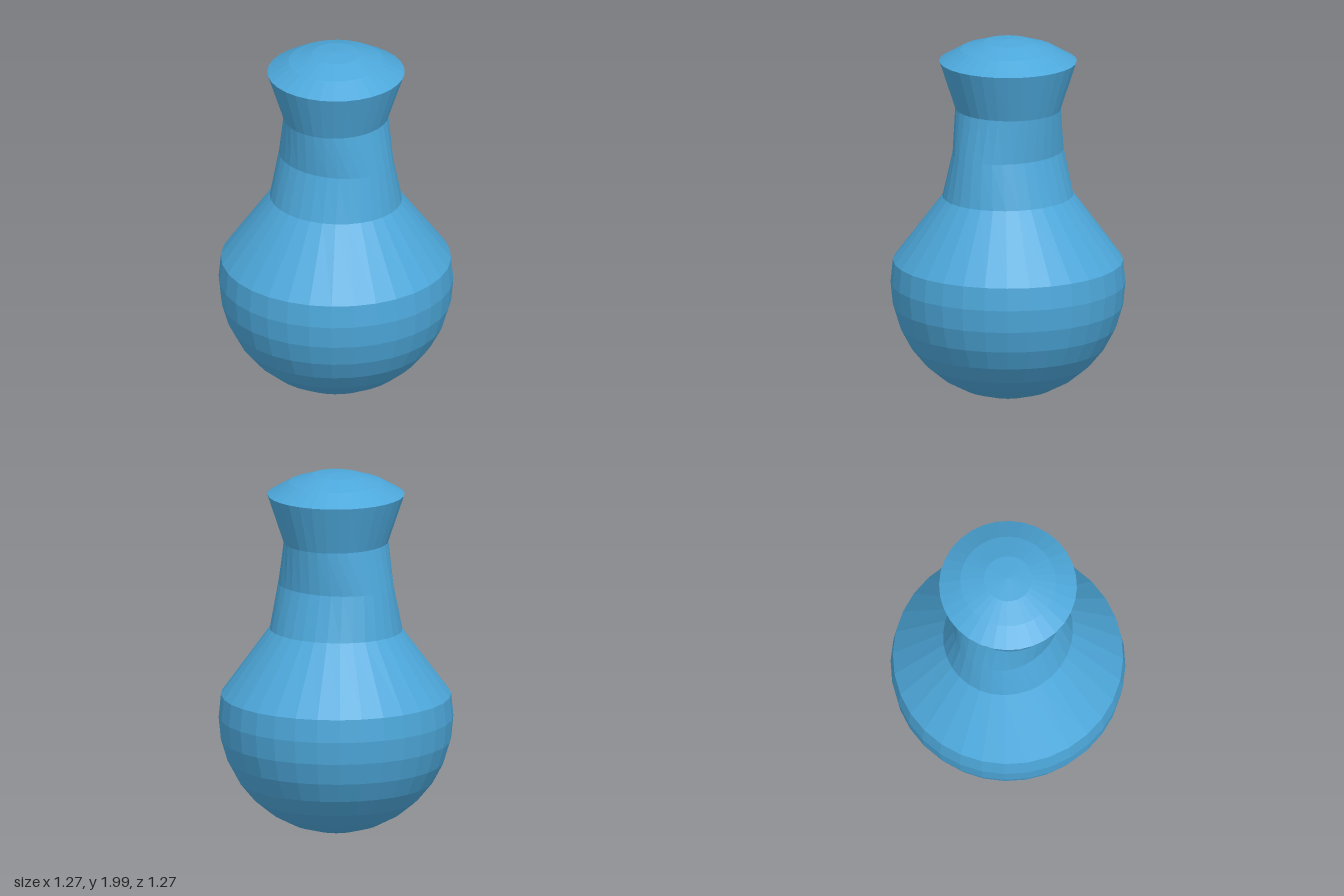
import * as THREE from 'three';

const SEGMENTS = 32;
const BULB_RADIUS = 0.636;
const BULB_CENTER = 0.643;

// Rings as [y, radius along x, radius along z], bottom to top
function bodyRings() {
  const rings = [];
  // Round bulb: a sphere cut off just above its equator
  for (let i = 0; i <= 9; i++) {
    const a = (i / 16) * Math.PI;
    const r = BULB_RADIUS * Math.sin(a);
    rings.push([BULB_CENTER - BULB_RADIUS * Math.cos(a), r, r]);
  }
  // Shoulder, slightly oval neck and flared rim
  rings.push([1.13, 0.344, 0.366], [1.375, 0.272, 0.328], [1.615, 0.291, 0.281], [1.88, 0.374, 0.372]);
  // Shallow domed top
  rings.push([1.946, 0.26, 0.257], [1.988, 0.13, 0.13], [2.0, 0, 0]);
  return rings;
}

// Lathe whose rings may be oval
function ovalLathe(rings) {
  const profile = rings.map(([y, rx]) => new THREE.Vector2(rx, y));
  const geometry = new THREE.LatheGeometry(profile, SEGMENTS);
  const pos = geometry.attributes.position;
  for (let i = 0; i < pos.count; i++) {
    const [, rx, rz] = rings[i % rings.length];
    if (rx > 1e-6) pos.setZ(i, (pos.getZ(i) * rz) / rx);
  }
  geometry.computeVertexNormals();
  return geometry;
}

export function createModel() {
  const group = new THREE.Group();
  group.name = 'bottle';
  const material = new THREE.MeshStandardMaterial({ color: 0x4da8db, flatShading: true });
  const body = new THREE.Mesh(ovalLathe(bodyRings()), material);
  body.name = 'bottleBody';
  group.add(body);
  return group;
}
